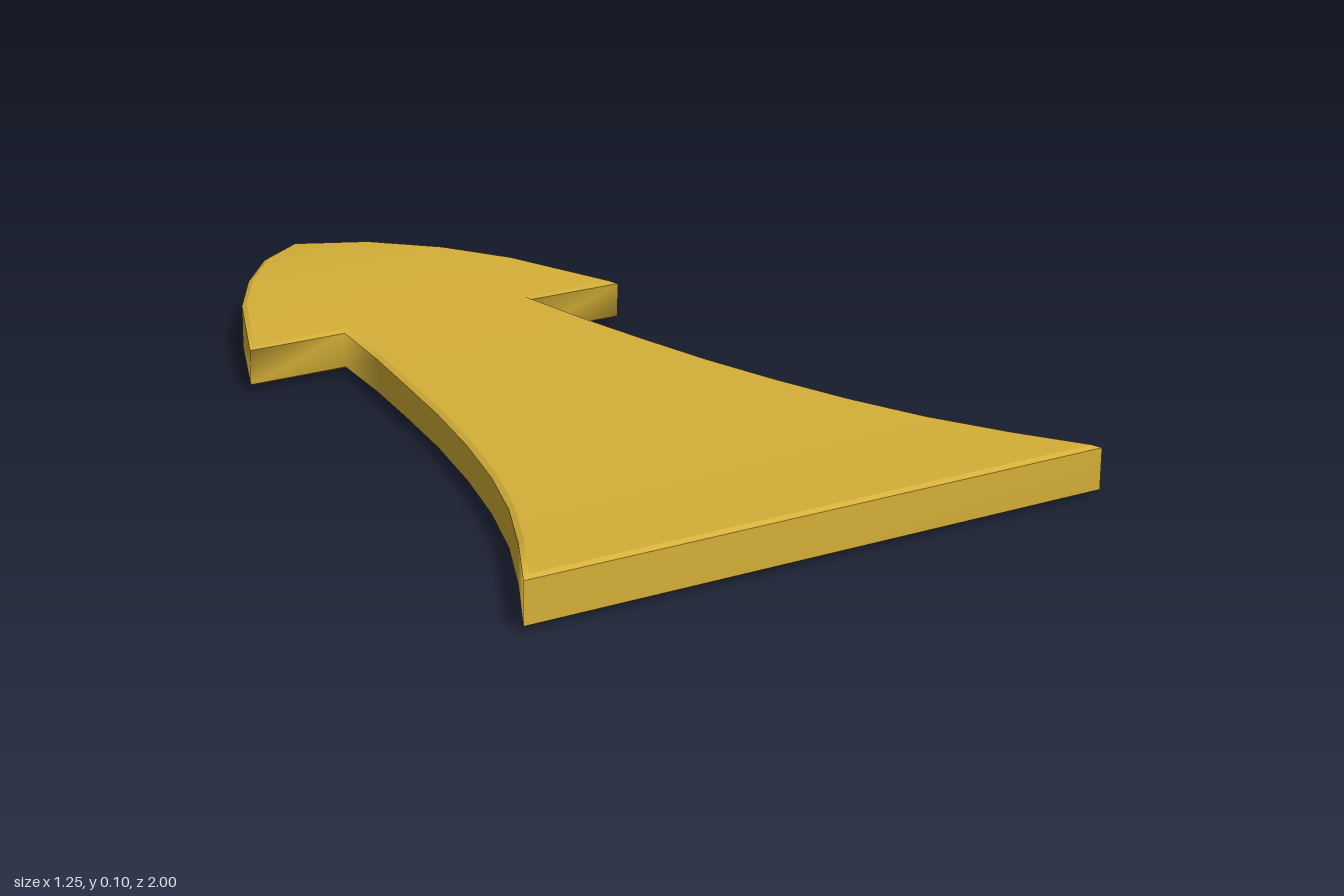
import * as THREE from 'three';

// right half of the outline from tip to base: x, z, half thickness
const HALF = [
  [0, -1, 0.034], [0.13, -0.885, 0.047], [0.24, -0.745, 0.0525], [0.33, -0.6, 0.051],
  [0.44, -0.35, 0.042], [0.223, -0.35, 0.042], [0.248, -0.17, 0.04], [0.278, 0, 0.039],
  [0.312, 0.18, 0.039], [0.355, 0.36, 0.04], [0.405, 0.53, 0.041], [0.465, 0.69, 0.042],
  [0.54, 0.845, 0.044], [0.625, 1, 0.047],
];
const MID = 0.0525, INSET = 0.01, BEVEL = 0.006;

// full closed outline, mirrored across x
const OUTLINE = [...HALF, ...HALF.slice(1).reverse().map(([x, z, h]) => [-x, z, h])];
const N = OUTLINE.length;

// outline shrunk evenly by a distance, with mitred corners
function shrink(d) {
  const inward = (a, b) => {
    const dx = b[0] - a[0], dz = b[1] - a[1], l = Math.hypot(dx, dz);
    return [-dz / l, dx / l];
  };
  return OUTLINE.map((p, i) => {
    const n1 = inward(OUTLINE[(i + N - 1) % N], p), n2 = inward(p, OUTLINE[(i + 1) % N]);
    const k = d / (1 + n1[0] * n2[0] + n1[1] * n2[1]);
    return [p[0] + k * (n1[0] + n2[0]), p[1] + k * (n1[1] + n2[1]), p[2]];
  });
}

// places a ring above (side 1) or below (side -1) the middle plane
const place = (ring, side, drop) =>
  ring.flatMap(([x, z, h]) => [x, MID + side * (h - drop), z]);

function geometry(positions, index) {
  const g = new THREE.BufferGeometry();
  g.setAttribute('position', new THREE.Float32BufferAttribute(positions, 3));
  g.setIndex(index);
  g.computeVertexNormals();
  return g;
}

// closed band between a lower and an upper ring
function band(lower, upper) {
  const index = [];
  for (let i = 0; i < N; i++) {
    const j = (i + 1) % N;
    index.push(j, i, i + N, j, i + N, j + N);
  }
  return geometry([...lower, ...upper], index);
}

// broad face made of strips joining mirrored outline points
function face(ring, side) {
  const index = [];
  for (let i = 0; i < HALF.length - 1; i++) {
    const r = i, l = (N - i) % N, r2 = i + 1, l2 = N - i - 1;
    const tris = [[r, l2, r2]];
    if (l !== r) tris.push([r, l, l2]);
    for (const [a, b, c] of tris) index.push(...(side > 0 ? [a, b, c] : [a, c, b]));
  }
  return geometry(ring, index);
}

export function createModel() {
  const group = new THREE.Group();
  group.name = 'arrow';
  const gold = new THREE.MeshStandardMaterial({ color: 0xd4af37 });
  gold.name = 'gold';
  const add = (name, geo) => {
    const mesh = new THREE.Mesh(geo, gold);
    mesh.name = name;
    group.add(mesh);
  };

  const inner = shrink(INSET);
  const rimTop = place(OUTLINE, 1, BEVEL), rimBottom = place(OUTLINE, -1, BEVEL);
  const faceTop = place(inner, 1, 0), faceBottom = place(inner, -1, 0);

  add('rim', band(rimBottom, rimTop));
  add('topBevel', band(rimTop, faceTop));
  add('bottomBevel', band(faceBottom, rimBottom));
  add('topFace', face(faceTop, 1));
  add('bottomFace', face(faceBottom, -1));
  return group;
}
